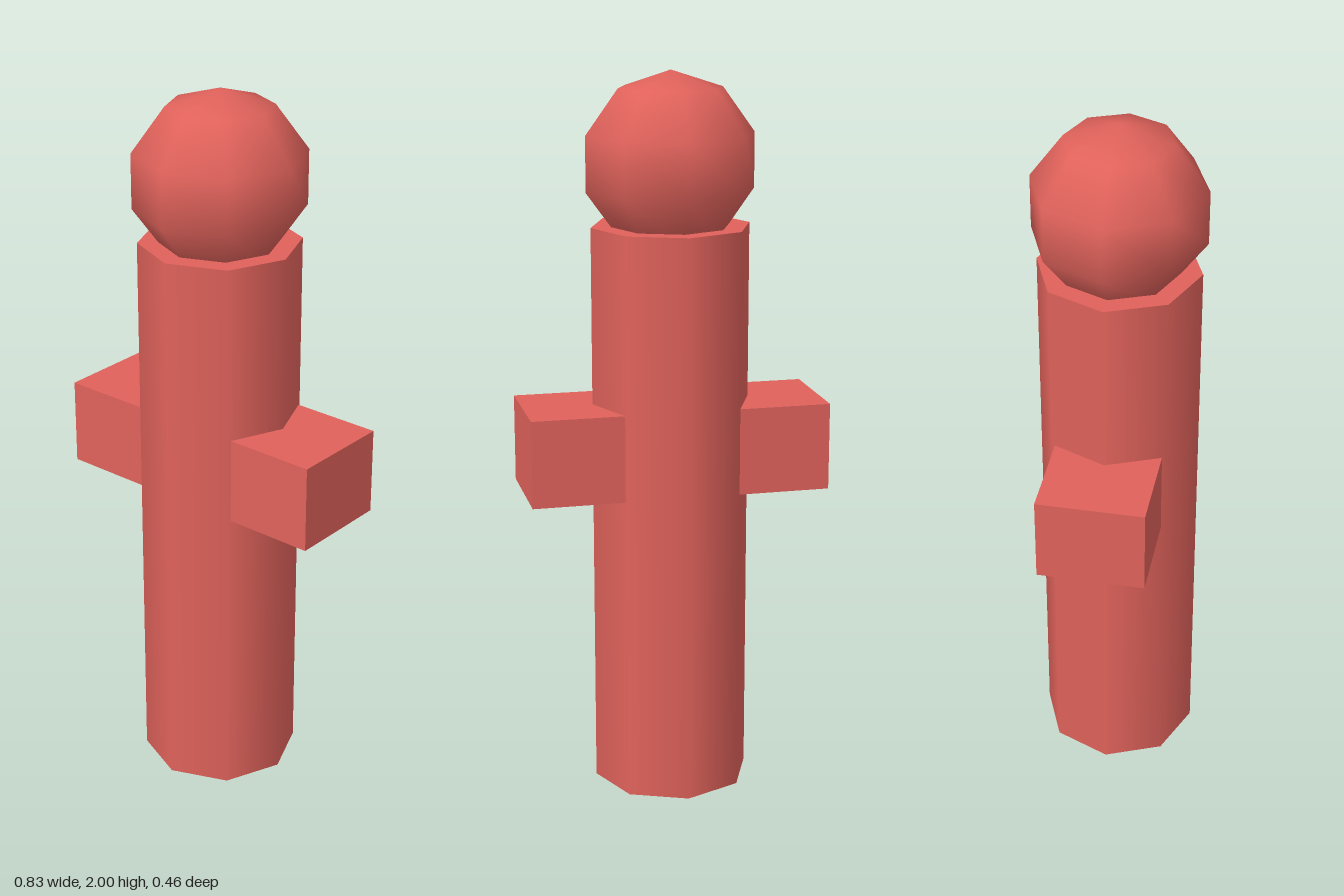
import * as THREE from 'three';

export function createModel() {
  const group = new THREE.Group();
  const red = new THREE.MeshStandardMaterial({ color: 0xe0625b });
  red.name = 'red';

  const add = (name, geometry, y) => {
    const mesh = new THREE.Mesh(geometry, red);
    mesh.name = name;
    mesh.position.y = y;
    group.add(mesh);
  };

  // Eight-sided post with smooth sides
  add('body', new THREE.CylinderGeometry(0.22, 0.22, 1.587, 8), 0.7935);

  // Coarse ball, sunk slightly into the top of the post
  add('head', new THREE.SphereGeometry(0.244, 8, 5), 1.756);

  // One bar through the post forms both arms
  add('arms', new THREE.BoxGeometry(0.828, 0.242, 0.292), 0.98);

  return group;
}
